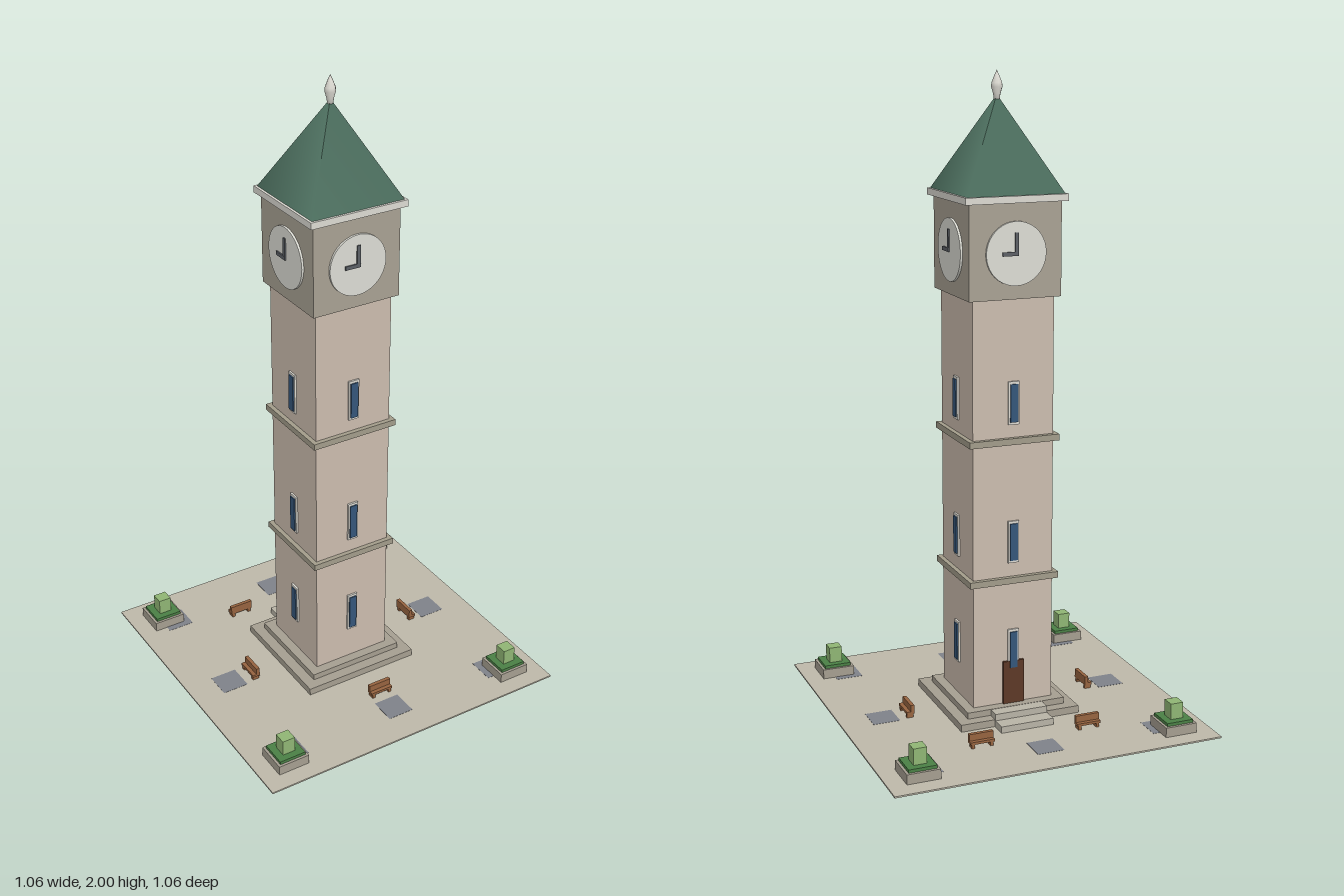
import * as THREE from 'three';

const mat = (color, extra = {}) => new THREE.MeshStandardMaterial({ color, ...extra });
const M = {
  plaza: mat(0xbdb8a9), paver: mat(0x7e8189), stone: mat(0xa59e90), step: mat(0xb8b3a6),
  wall: mat(0xcbbcae), band: mat(0xa29c8a), belfry: mat(0xa8a193), trim: mat(0xdcdad2),
  roof: mat(0x4c6e5e), glass: mat(0x35567a), door: mat(0x5c3826), wood: mat(0x96633f),
  dial: mat(0xdcdcd4), hand: mat(0x5c6066), hedge: mat(0x4a7f45), bush: mat(0x8fb574),
};

function add(parent, name, geometry, material, x = 0, y = 0, z = 0) {
  const mesh = new THREE.Mesh(geometry, material);
  mesh.name = name;
  mesh.position.set(x, y, z);
  parent.add(mesh);
  return mesh;
}

// box given by its width, depth and vertical range
function box(parent, name, w, d, y0, y1, material, x = 0, z = 0) {
  return add(parent, name, new THREE.BoxGeometry(w, y1 - y0, d), material, x, (y0 + y1) / 2, z);
}

function group(parent, name, x = 0, z = 0, turn = 0) {
  const g = new THREE.Group();
  g.name = name;
  g.position.set(x, 0, z);
  g.rotation.y = turn;
  parent.add(g);
  return g;
}

// bench facing +z, backrest on the tower side
function bench(parent, x, z, turn) {
  const g = group(parent, 'bench', x, z, turn);
  box(g, 'benchSeat', 0.078, 0.025, 0.018, 0.026, M.wood);
  box(g, 'benchBack', 0.078, 0.012, 0.018, 0.047, M.wood, 0, -0.0065);
  for (const s of [-1, 1]) box(g, 'benchLeg', 0.01, 0.022, 0.005, 0.018, M.wood, s * 0.03);
}

function planter(parent, x, z) {
  const g = group(parent, 'planter', x, z);
  box(g, 'planterBox', 0.105, 0.105, 0.005, 0.036, M.stone);
  box(g, 'planterHedge', 0.088, 0.088, 0.03, 0.046, M.hedge);
  box(g, 'planterBush', 0.042, 0.042, 0.04, 0.097, M.bush);
}

// windows and clock of one tower side, built facing +z
function towerSide(parent, turn) {
  const g = group(parent, 'towerSide', 0, 0, turn);
  for (const y of [0.225, 0.577, 1.016]) {
    box(g, 'windowFrame', 0.036, 0.016, y - 0.067, y + 0.067, M.trim, 0, 0.13);
    box(g, 'windowPane', 0.025, 0.02, y - 0.059, y + 0.059, M.glass, 0, 0.132);
  }
  const dial = add(g, 'clockFace', new THREE.CylinderGeometry(0.096, 0.096, 0.014, 40), M.dial, 0, 1.472, 0.148);
  dial.rotation.x = Math.PI / 2;
  box(g, 'minuteHand', 0.012, 0.005, 1.466, 1.535, M.hand, 0, 0.1565);
  box(g, 'hourHand', 0.051, 0.005, 1.466, 1.478, M.hand, -0.0195, 0.157);
}

export function createModel() {
  const model = new THREE.Group();
  model.name = 'clockTower';

  // plaza with paved squares and corner planters
  box(model, 'plaza', 1.056, 1.056, 0, 0.005, M.plaza);
  for (const i of [-1, 0, 1]) for (const j of [-1, 0, 1]) {
    if (!i && !j) continue;
    box(model, 'paver', 0.087, 0.087, 0.003, 0.0056, M.paver, i * 0.388, j * 0.388);
    if (i && j) planter(model, i * 0.419, j * 0.419);
  }

  // benches around the tower
  bench(model, 0, 0.308, 0);
  for (const s of [-1, 1]) {
    bench(model, s * 0.308, 0, s * Math.PI / 2);
    bench(model, s * 0.177, -0.31, Math.PI);
  }

  // stepped base and entrance steps at the back
  box(model, 'lowerBase', 0.396, 0.396, 0.005, 0.028, M.stone);
  box(model, 'upperBase', 0.326, 0.326, 0.028, 0.048, M.stone);
  box(model, 'lowerStep', 0.174, 0.06, 0.005, 0.026, M.step, 0, -0.222);
  box(model, 'upperStep', 0.174, 0.05, 0.026, 0.047, M.step, 0, -0.178);

  // shaft with string courses
  box(model, 'shaft', 0.264, 0.264, 0.048, 1.335, M.wall);
  for (const y of [0.455, 0.898]) box(model, 'stringCourse', 0.294, 0.294, y - 0.01, y + 0.01, M.band);
  box(model, 'door', 0.07, 0.016, 0.048, 0.188, M.door, 0, -0.132);

  // belfry, cornice and roof
  box(model, 'belfry', 0.296, 0.296, 1.335, 1.622, M.belfry);
  box(model, 'cornice', 0.328, 0.328, 1.622, 1.643, M.trim);
  for (let i = 0; i < 4; i++) towerSide(model, i * Math.PI / 2);
  const roof = add(model, 'roof', new THREE.ConeGeometry(0.156 * Math.SQRT2, 0.285, 4), M.roof, 0, 1.7855, 0);
  roof.rotation.y = Math.PI / 4;

  // finial
  const profile = [[0, 1.905], [0.009, 1.915], [0.011, 1.93], [0.017, 1.95], [0.016, 1.962], [0.008, 1.982], [0, 2]];
  add(model, 'finial', new THREE.LatheGeometry(profile.map(p => new THREE.Vector2(...p)), 10), M.trim);

  return model;
}
